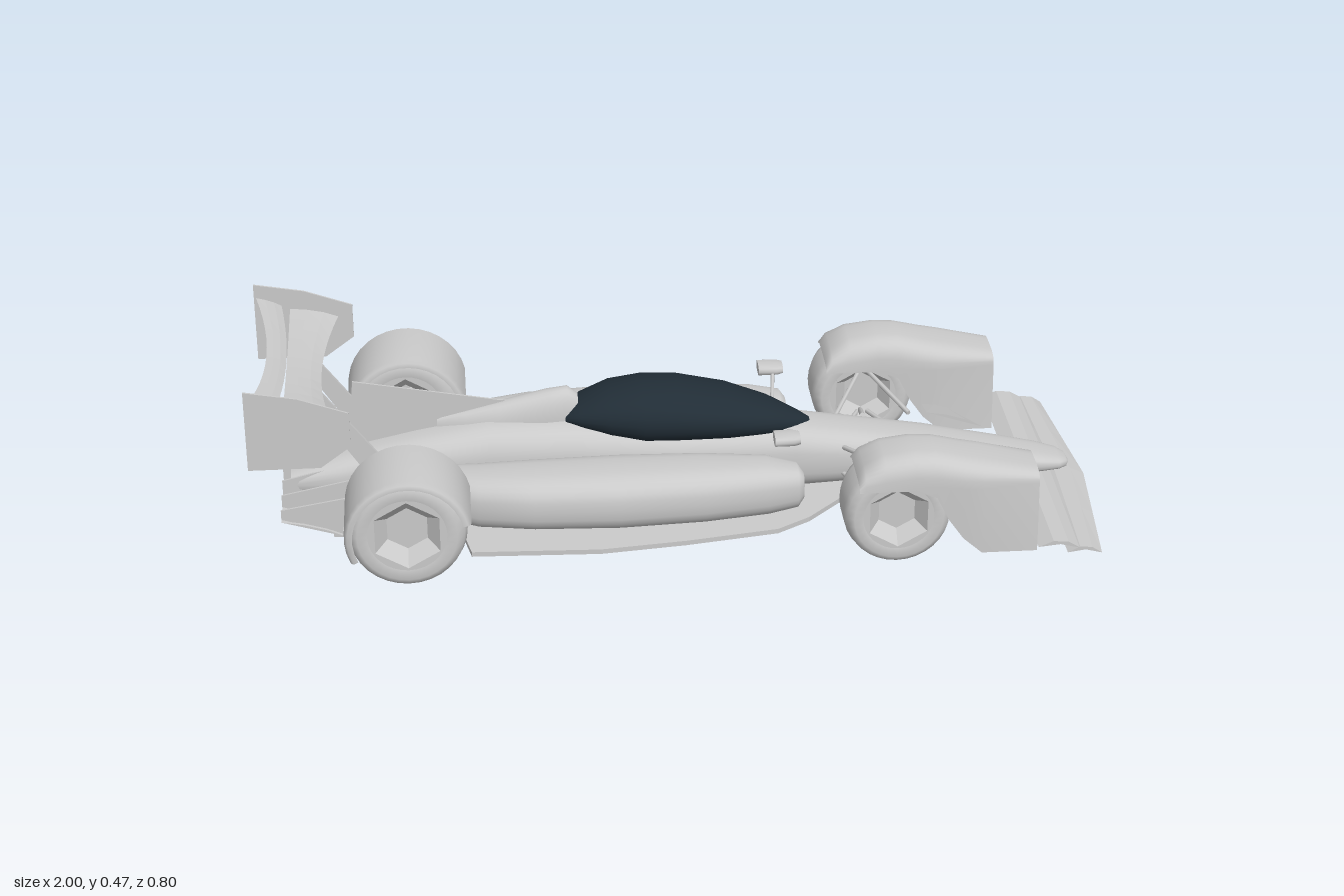
import * as THREE from 'three';

const grey = new THREE.MeshStandardMaterial({ color: 0xcacaca, side: THREE.DoubleSide });
grey.name = 'body grey';
const dark = new THREE.MeshStandardMaterial({ color: 0x212d36, side: THREE.DoubleSide });
dark.name = 'canopy dark blue';
const V = (x, y, z) => new THREE.Vector3(x, y, z);

function part(name, geo, mat = grey) {
  const m = new THREE.Mesh(geo, mat);
  m.name = name;
  return m;
}

// Skin through equal-length cross-sections; closed rings get end caps
function loft(rings, closed = true, flat = false) {
  const n = rings[0].length, pos = [], idx = [];
  rings.forEach(r => r.forEach(p => pos.push(p.x, p.y, p.z)));
  for (let i = 0; i < rings.length - 1; i++)
    for (let j = 0; j < (closed ? n : n - 1); j++) {
      const a = i * n + j, b = i * n + (j + 1) % n;
      idx.push(a, a + n, b, b, a + n, b + n);
    }
  if (closed) [rings[0], rings[rings.length - 1]].forEach((r, e) => {
    const base = pos.length / 3;
    const c = r.reduce((s, p) => s.add(p), V(0, 0, 0)).divideScalar(n);
    [...r, c].forEach(p => pos.push(p.x, p.y, p.z));
    for (let j = 0; j < n; j++) {
      const a = base + j, b = base + (j + 1) % n;
      e ? idx.push(a, base + n, b) : idx.push(a, b, base + n);
    }
  });
  let g = new THREE.BufferGeometry();
  g.setAttribute('position', new THREE.Float32BufferAttribute(pos, 3));
  g.setIndex(idx);
  if (flat) g = g.toNonIndexed();
  g.computeVertexNormals();
  return g;
}

// Rounded-box section at x, spanning z0..z1 and y0..y1
function oval(x, z0, z1, y0, y1, e = 2.6, n = 28) {
  const sq = v => Math.sign(v) * Math.pow(Math.abs(v), 2 / e);
  return Array.from({ length: n }, (_, i) => {
    const t = i / n * Math.PI * 2;
    return V(x, (y0 + y1) / 2 + sq(Math.sin(t)) * (y1 - y0) / 2, (z0 + z1) / 2 + sq(Math.cos(t)) * (z1 - z0) / 2);
  });
}

// Blade swept across z; at(z) returns front x, front y, rear x, rear y; arch bows it upward
function blade(zs, at, thick = 0.008, arch = 0) {
  return loft(zs.map(z => {
    const [xa, ya, xb, yb] = at(z);
    const p = (t, up) => V(xa + (xb - xa) * t, ya + (yb - ya) * t + arch * Math.sin(Math.PI * t) + up, z);
    return [p(0, 0), p(0.3, thick), p(0.65, thick), p(1, 0), p(0.65, 0), p(0.3, 0)];
  }), true, true);
}

// Flat upright plate in the x-y plane, centred on z
function plate(points, z, t = 0.005) {
  const s = new THREE.Shape(points.map(p => new THREE.Vector2(...p)));
  return new THREE.ExtrudeGeometry(s, { depth: t, bevelEnabled: false }).translate(0, 0, z - t / 2);
}

function rod(a, b, r = 0.006) {
  const d = b.clone().sub(a), g = new THREE.CylinderGeometry(r, r, d.length(), 6);
  g.applyQuaternion(new THREE.Quaternion().setFromUnitVectors(V(0, 1, 0), d.normalize()));
  return g.translate((a.x + b.x) / 2, (a.y + b.y) / 2, (a.z + b.z) / 2);
}

// Tyre with a hexagonal sunken hub on each side
function wheel(r, w, name) {
  const g = new THREE.Group(), h = w / 2, q = r * 0.66;
  g.name = name;
  const prof = [[q, -h + 0.004], [r * 0.83, -h], [r * 0.95, -h + 0.012], [r, -h + 0.035], [r, h - 0.035],
    [r * 0.95, h - 0.012], [r * 0.83, h], [q, h - 0.004]];
  g.add(part('tyre', new THREE.LatheGeometry(prof.map(p => new THREE.Vector2(...p)), 32).rotateX(Math.PI / 2)));
  const hex = q * 0.94;
  for (const s of [1, -1]) {
    const ring = new THREE.Shape().absarc(0, 0, q, 0, Math.PI * 2);
    ring.holes.push(new THREE.Path(Array.from({ length: 6 }, (_, i) =>
      new THREE.Vector2(hex * Math.sin(i * Math.PI / 3), hex * Math.cos(i * Math.PI / 3)))));
    const cup = new THREE.LatheGeometry([[hex, 0], [hex * 0.62, -0.035], [0.001, -0.035]].map(p => new THREE.Vector2(...p)), 6)
      .rotateX(Math.PI / 2).toNonIndexed();
    cup.computeVertexNormals();
    const side = new THREE.Group();
    side.name = 'wheelFace';
    side.add(part('rim', new THREE.ShapeGeometry(ring, 24)), part('hub', cup));
    side.position.z = s * (h - 0.004);
    if (s < 0) side.rotation.y = Math.PI;
    g.add(side);
  }
  return g;
}

export function createModel() {
  const car = new THREE.Group();
  car.name = 'racingCar';
  const add = (...args) => car.add(part(...args));

  // Central body: x, half width, bottom, top
  add('body', loft([[0.957, 0.008, 0.048, 0.056], [0.95, 0.028, 0.045, 0.066], [0.93, 0.045, 0.044, 0.075], [0.88, 0.058, 0.043, 0.088],
    [0.8, 0.066, 0.043, 0.106], [0.6, 0.079, 0.045, 0.148], [0.4, 0.085, 0.042, 0.182], [0.28, 0.09, 0.036, 0.2],
    [0, 0.105, 0.036, 0.215], [-0.25, 0.105, 0.036, 0.235], [-0.45, 0.1, 0.036, 0.235], [-0.62, 0.09, 0.04, 0.205],
    [-0.8, 0.082, 0.05, 0.165], [-0.92, 0.06, 0.075, 0.125]].map(([x, w, a, b]) => oval(x, -w, w, a, b, 2.8))));
  // Engine cover behind the canopy
  add('engineCover', loft([[-0.235, 0.03, 0.285], [-0.26, 0.038, 0.305], [-0.31, 0.042, 0.298], [-0.42, 0.036, 0.272],
    [-0.5, 0.025, 0.252], [-0.57, 0.006, 0.235]].map(([x, w, t]) => oval(x, -w, w, 0.13, t, 2.4))));
  add('spineFin', plate([[-0.34, 0.27], [-0.42, 0.277], [-0.765, 0.34], [-0.78, 0.16], [-0.42, 0.2]], 0));
  // Canopy: x, half width, top
  add('canopy', loft([[0.32, 0.012, 0.198], [0.29, 0.035, 0.215], [0.22, 0.07, 0.25], [0.12, 0.098, 0.285], [0, 0.11, 0.311],
    [-0.08, 0.109, 0.315], [-0.16, 0.095, 0.304], [-0.23, 0.066, 0.276], [-0.265, 0.042, 0.252], [-0.275, 0.02, 0.24]]
    .map(([x, w, t]) => oval(x, -w, w, 0.17 + Math.max(0, -x - 0.1) * 0.3, t, 2.1, 24))), dark);

  // Flat floor
  const edge = [[0.42, 0.06], [0.38, 0.12], [0.3, 0.2], [0.22, 0.25], [0, 0.287], [-0.2, 0.31], [-0.5, 0.298], [-0.52, 0.2], [-0.82, 0.18]];
  const floor = new THREE.Shape([...edge, ...edge.map(([x, z]) => [x, -z]).reverse()].map(p => new THREE.Vector2(...p)));
  add('floor', new THREE.ExtrudeGeometry(floor, { depth: 0.012, bevelEnabled: false }).rotateX(-Math.PI / 2).translate(0, 0.025, 0));

  // Rear wing, bowed across the span, with a slot between its two blades
  const span = Array.from({ length: 13 }, (_, i) => -0.28 + i * 0.56 / 12);
  const bow = z => (z / 0.28) ** 2;
  add('rearWingMain', blade(span, z => [-0.835 + 0.035 * bow(z), 0.362 + 0.014 * bow(z), -0.915, 0.387 + 0.014 * bow(z)], 0.01, -0.006));
  add('rearWingFlap', blade(span, z => [-0.915 - 0.02 * bow(z), 0.395 + 0.015 * bow(z), -0.96 - 0.035 * bow(z), 0.415 + 0.018 * bow(z)], 0.006, -0.004));

  // Front wing, two upward-arched blades pointed at the middle
  const half = [-0.378, -0.19, 0, 0.19, 0.378];
  add('frontWingMain', blade(half, z => [1 - 0.09 * Math.abs(z), 0.012, 0.885, 0.016], 0.006, 0.011));
  add('frontWingFlap', blade(half, z => [0.915, 0.027, 0.815, 0.034], 0.006, 0.012));

  // Rear diffuser: rising floor with upright strakes
  add('diffuserFloor', blade([-0.19, 0, 0.19], () => [-0.79, 0.03, -0.94, 0.075], 0.006));
  for (let i = 0; i < 7; i++) {
    const e = Math.abs(i - 3) * 0.012;
    add('diffuserStrake', plate([[-0.78, 0.165 - e], [-0.94, 0.12 - e / 2], [-0.94, 0.078], [-0.8, 0.035]], (i - 3) * 0.06));
  }

  for (const s of [1, -1]) {
    // Sidepod: x, inner z, outer z, bottom, top
    add('sidepod', loft([[0.285, 0.165, 0.215, 0.09, 0.15], [0.27, 0.14, 0.235, 0.07, 0.17], [0.2, 0.11, 0.252, 0.058, 0.182],
      [0.05, 0.09, 0.27, 0.05, 0.187], [-0.15, 0.08, 0.277, 0.045, 0.187], [-0.35, 0.08, 0.265, 0.045, 0.182],
      [-0.48, 0.08, 0.237, 0.045, 0.175], [-0.56, 0.07, 0.185, 0.045, 0.165], [-0.7, 0.05, 0.12, 0.05, 0.13]]
      .map(([x, a, b, y0, y1]) => oval(x, s * a, s * b, y0, y1, 2.7))));
    // Mirror and stalk
    add('mirror', loft([[0.275, 0.8], [0.26, 1], [0.215, 1]].map(([x, k]) =>
      oval(x, s * (0.182 - 0.028 * k), s * (0.182 + 0.028 * k), 0.242 - 0.013 * k, 0.242 + 0.013 * k, 3, 12))));
    add('mirrorStalk', rod(V(0.25, 0.24, s * 0.165), V(0.24, 0.18, s * 0.085), 0.005));

    // Wheels
    const fw = wheel(0.125, 0.145, 'frontWheel');
    fw.position.set(0.485, 0.125, s * 0.302);
    const rw = wheel(0.138, 0.165, 'rearWheel');
    rw.position.set(-0.645, 0.138, s * 0.305);
    car.add(fw, rw);

    // Front wheel fairing: x, bottom, top, half width at the shoulder, shoulder depth
    add('frontFender', loft([[0.39, 0.2, 0.215, 0.085, 0.07], [0.405, 0.2, 0.247, 0.085, 0.07], [0.45, 0.2, 0.272, 0.085, 0.07],
      [0.52, 0.2, 0.281, 0.085, 0.07], [0.57, 0.18, 0.278, 0.085, 0.07], [0.6, 0.12, 0.271, 0.085, 0.068],
      [0.635, 0.07, 0.262, 0.085, 0.062], [0.68, 0.03, 0.253, 0.083, 0.055], [0.81, 0.03, 0.224, 0.068, 0.025]].map(([x, b, t, hw, d]) => {
      const side = Math.max(b, t - d);
      const arc = Array.from({ length: 17 }, (_, i) => {
        const a = i / 16 * Math.PI, c = Math.cos(a);
        return V(x, side + (t - side) * Math.pow(Math.sin(a), 0.7), s * (0.3 + hw * Math.sign(c) * Math.pow(Math.abs(c), 0.6)));
      });
      return [V(x, b, s * 0.385), ...arc, V(x, b, s * 0.215)];
    }), false));
    // Rear wheel shell, wrapping the upper tyre with turned-in edges
    add('rearFender', loft(Array.from({ length: 19 }, (_, i) => {
      const a = (12 + i / 18 * 193) * Math.PI / 180;
      return [[0.208, 0.128], [0.208, 0.14], [0.216, 0.147], [0.388, 0.147], [0.398, 0.14], [0.398, 0.128]]
        .map(([z, r]) => V(-0.642 + r * Math.cos(a), 0.136 + r * Math.sin(a), s * z));
    }), false));

    // Winglet sloping from nose to fairing
    add('noseWinglet', blade([s * 0.06, s * 0.22], z => {
      const d = Math.abs(z) - 0.06;
      return [0.755 - d * 0.2, 0.12 - d * 0.3, 0.615 + d * 0.1, 0.165 - d * 0.38];
    }));

    // Suspension arms
    for (const [x, w, body, hubs] of [[0.485, 0.09, 0.08, 0.24], [-0.645, 0.08, 0.07, 0.24]])
      for (const [yi, yo] of [[0.155, 0.19], [0.085, 0.08]])
        for (const d of [1, -1]) add('suspensionArm', rod(V(x + d * w, yi, s * body), V(x + d * 0.012, yo, s * hubs)));
    add('pushRod', rod(V(0.46, 0.16, s * 0.07), V(0.48, 0.085, s * 0.24)));
    add('driveShaft', rod(V(-0.645, 0.13, s * 0.05), V(-0.645, 0.138, s * 0.25), 0.01));

    // Rear wing end plate and pylon
    add('rearEndPlate', plate([[-1, 0.467], [-0.88, 0.446], [-0.765, 0.405], [-0.765, 0.32], [-0.835, 0.268], [-1, 0.268]], s * 0.281));
    add('rearWingPylon', plate([[-0.9, 0.38], [-0.845, 0.365], [-0.7, 0.17], [-0.75, 0.15]], s * 0.07, 0.01));
  }
  return car;
}
